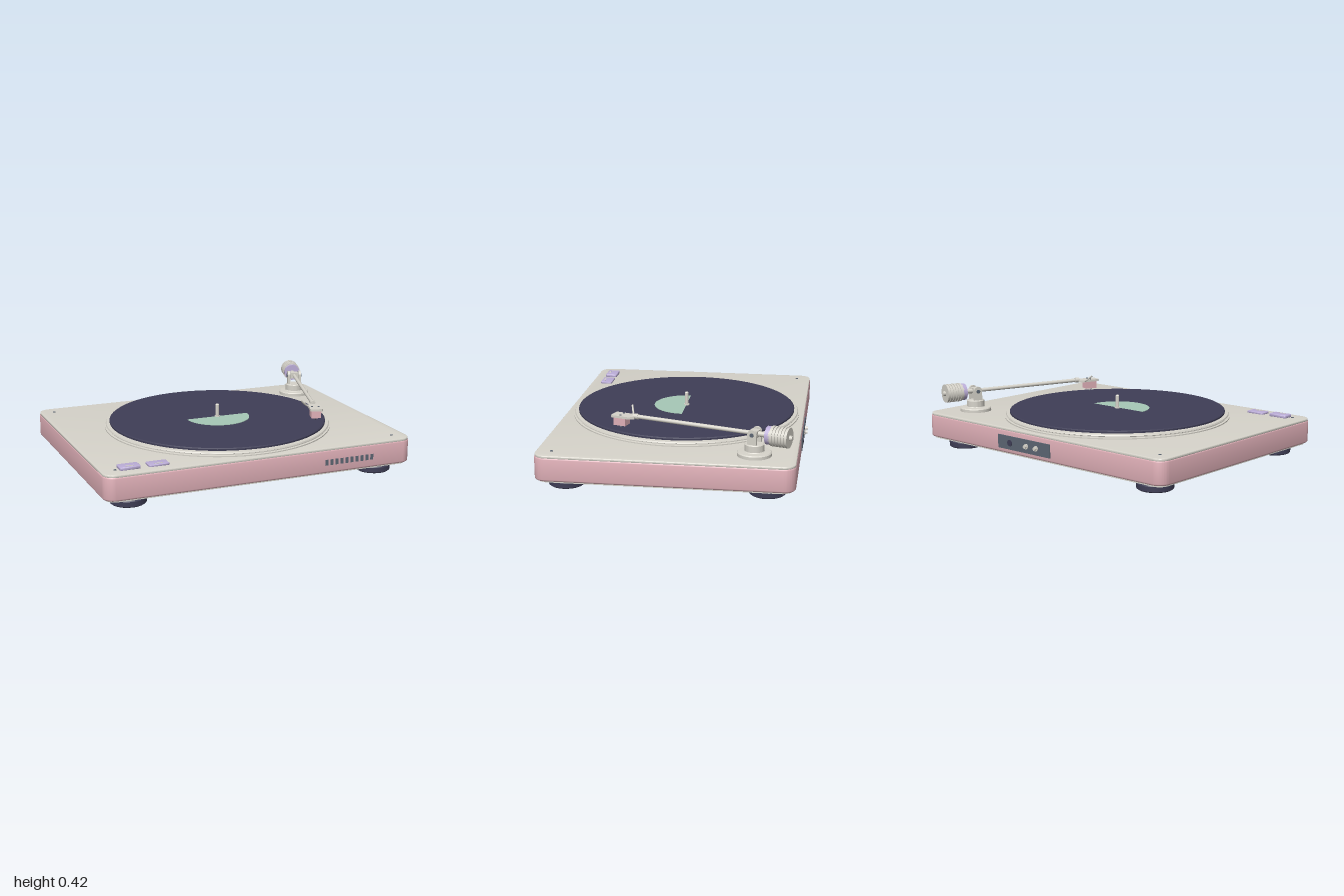
import * as THREE from 'three';
import { toCreasedNormals } from 'three/addons/utils/BufferGeometryUtils.js';

const mat = (name, color) => {
  const m = new THREE.MeshStandardMaterial({ color });
  m.name = name;
  return m;
};

export function createModel() {
  const cream = mat('cream', 0xd6d3ca), pink = mat('pink', 0xe0b0b8), navy = mat('navy', 0x3f3e56);
  const lilac = mat('lilac', 0xbcaed8), mint = mat('mint', 0xa6c8b6), slate = mat('slate', 0x5c6673);
  const root = new THREE.Group();
  root.name = 'turntable';

  const add = (parent, name, geo, material, x = 0, y = 0, z = 0) => {
    const m = new THREE.Mesh(geo, material);
    m.name = name;
    m.position.set(x, y, z);
    parent.add(m);
    return m;
  };
  const box = (w, h, d) => new THREE.BoxGeometry(w, h, d);
  const cyl = (r, h, n = 24, r2 = r) => new THREE.CylinderGeometry(r, r2, h, n);
  const lathe = (pts, n = 48) => toCreasedNormals(
    new THREE.LatheGeometry(pts.map(p => new THREE.Vector2(p[0], p[1])), n), 0.6);
  // Horizontal rounded slab rising from y = 0 to h
  const slab = (w, d, h, r, bevel = 0) => {
    const a = w / 2 - bevel, b = d / 2 - bevel, q = Math.max(r - bevel, 0.003);
    const s = new THREE.Shape();
    s.absarc(a - q, b - q, q, 0, Math.PI / 2);
    s.absarc(q - a, b - q, q, Math.PI / 2, Math.PI);
    s.absarc(q - a, q - b, q, Math.PI, Math.PI * 1.5);
    s.absarc(a - q, q - b, q, Math.PI * 1.5, Math.PI * 2);
    s.closePath();
    const g = new THREE.ExtrudeGeometry(s, {
      depth: h - 2 * bevel, curveSegments: 8, bevelEnabled: bevel > 0,
      bevelSize: bevel, bevelThickness: bevel, bevelSegments: 3,
    });
    g.rotateX(-Math.PI / 2).translate(0, bevel, 0);
    return toCreasedNormals(g, 0.7);
  };

  // Plinth
  const zc = 0.008;
  add(root, 'bottomPlate', slab(1.96, 1.49, 0.014, 0.06), cream, 0, 0.06, zc);
  add(root, 'plinth', slab(2, 1.53, 0.147, 0.07, 0.012), pink, 0, 0.07, zc);
  add(root, 'topPlate', slab(1.995, 1.525, 0.018, 0.07, 0.005), cream, 0, 0.21, zc);

  // Feet
  for (const x of [-0.815, 0.815]) for (const z of [-0.587, 0.61]) {
    const foot = new THREE.Group();
    foot.name = 'foot';
    foot.position.set(x, 0, z);
    root.add(foot);
    add(foot, 'footPad', lathe([[0, 0], [0.1, 0], [0.109, 0.007], [0.109, 0.037], [0.104, 0.044], [0, 0.044]]), navy);
    add(foot, 'footRing', cyl(0.106, 0.007, 40), cream, 0, 0.048);
    add(foot, 'footNeck', cyl(0.095, 0.014, 40), cream, 0, 0.054);
    add(foot, 'footCollar', cyl(0.106, 0.006, 40), cream, 0, 0.06);
  }

  // Platter, record, label and spindle
  const deck = new THREE.Group();
  deck.name = 'platterGroup';
  deck.position.set(0, 0, 0.006);
  root.add(deck);
  add(deck, 'platter', lathe([[0.728, 0.225], [0.728, 0.235], [0.714, 0.237], [0.714, 0.243],
    [0.722, 0.246], [0.718, 0.254], [0.69, 0.256], [0, 0.256]], 96), cream);
  add(deck, 'record', lathe([[0.68, 0.255], [0.697, 0.258], [0.697, 0.268], [0.69, 0.273], [0, 0.273]], 96), navy);
  const half = new THREE.CylinderGeometry(0.208, 0.208, 0.003, 48, 1, false, -Math.PI / 2, Math.PI);
  add(deck, 'label', half, mint, 0, 0.2745);
  add(deck, 'spindleCollar', cyl(0.018, 0.006), cream, 0, 0.276);
  add(deck, 'spindle', lathe([[0.012, 0.27], [0.012, 0.354], [0.007, 0.36], [0, 0.36]], 20), cream);

  // Control buttons with pale indicator strips
  [[-0.825, 0.02], [-0.65, 0.014]].forEach(([x, h]) => {
    add(root, 'button', slab(0.126, 0.078, h, 0.012, 0.004), lilac, x, 0.226, 0.665);
    add(root, 'buttonMark', box(0.05, 0.003, 0.008), cream, x, 0.2265 + h, 0.684);
  });

  // Deck screws
  for (const [x, z] of [[-0.91, -0.663], [-0.91, 0.677], [0.905, 0.677]])
    add(root, 'screw', cyl(0.009, 0.004, 12), slate, x, 0.229, z);

  // Front vent slits
  for (let i = 0; i < 10; i++)
    add(root, 'ventSlit', box(0.02, 0.036, 0.006), slate, 0.402 + i * 0.0345, 0.138, 0.772);

  // Rear connector panel
  add(root, 'rearPanel', box(0.45, 0.085, 0.008), slate, 0.085, 0.14, -0.759);
  const rear = (name, r, len, m, x) => {
    add(root, name, cyl(r, len, 20), m, x, 0.14, -0.761 - len / 2).rotation.x = Math.PI / 2;
  };
  for (const x of [-0.025, 0.06]) {
    rear('jackCollar', 0.017, 0.008, cream, x);
    rear('jack', 0.01, 0.022, cream, x);
  }
  rear('powerSocket', 0.02, 0.006, navy, 0.205);

  // Tonearm base
  const arm = new THREE.Group();
  arm.name = 'tonearm';
  arm.position.set(0.805, 0, -0.505);
  arm.rotation.y = -0.3;
  root.add(arm);
  add(arm, 'armBase', lathe([[0.102, 0.225], [0.102, 0.246], [0.096, 0.252], [0.062, 0.254],
    [0.058, 0.258], [0.058, 0.296], [0.053, 0.301], [0, 0.301]]), cream);
  for (const s of [-1, 1]) {
    add(arm, 'yokePost', box(0.016, 0.075, 0.056), cream, s * 0.038, 0.328, 0);
    add(arm, 'yokeTop', cyl(0.028, 0.016), cream, s * 0.038, 0.363, 0).rotation.z = Math.PI / 2;
    add(arm, 'pivotScrew', cyl(0.012, 0.008, 16), slate, s * 0.048, 0.36, 0).rotation.z = Math.PI / 2;
  }
  add(arm, 'pivotBlock', box(0.052, 0.04, 0.05), cream, 0, 0.36, 0);

  // Arm tube and rear shaft
  const along = (name, r, z0, z1, m, n = 24) =>
    (add(arm, name, cyl(r, z1 - z0, n), m, 0, 0.36, (z0 + z1) / 2).rotation.x = Math.PI / 2);
  along('armTube', 0.0125, -0.1, 0.79, cream);
  along('headCollar', 0.017, 0.755, 0.785, cream);
  along('rearShaft', 0.016, -0.225, -0.02, cream);

  // Ridged counterweight
  along('weightDial', 0.054, -0.105, -0.078, lilac, 40);
  along('weightCore', 0.054, -0.215, -0.1, cream, 40);
  for (let i = 0; i < 6; i++) along('weightRidge', 0.06, -0.124 - i * 0.0182, -0.111 - i * 0.0182, cream, 40);
  along('weightCap', 0.015, -0.232, -0.214, cream);

  // Headshell, tapered towards the arm
  const s = new THREE.Shape();
  [[-0.02, 0.775], [0.02, 0.775], [0.04, 0.81], [0.04, 0.918], [0.034, 0.925], [-0.034, 0.925],
    [-0.04, 0.918], [-0.04, 0.81]].forEach(([x, z], i) => (i ? s.lineTo(x, z) : s.moveTo(x, z)));
  s.closePath();
  const shell = new THREE.ExtrudeGeometry(s, { depth: 0.014, bevelEnabled: false });
  shell.rotateX(Math.PI / 2);
  add(arm, 'headshell', shell, cream, 0, 0.36, 0);
  for (const x of [-0.022, 0.022])
    add(arm, 'headScrew', cyl(0.006, 0.005, 12), slate, x, 0.362, 0.865);
  add(arm, 'cartridge', box(0.062, 0.05, 0.08), pink, 0, 0.322, 0.872);
  const stylus = add(arm, 'stylus', cyl(0.003, 0.034, 8), slate, 0, 0.287, 0.885);
  stylus.rotation.x = 0.9;

  // Finger lift
  const lift = new THREE.CatmullRomCurve3([[-0.03, 0.352, 0.815], [-0.05, 0.36, 0.817],
    [-0.07, 0.378, 0.83], [-0.09, 0.398, 0.843]].map(p => new THREE.Vector3(...p)));
  add(arm, 'fingerLift', new THREE.TubeGeometry(lift, 12, 0.006, 8), cream);

  return root;
}
